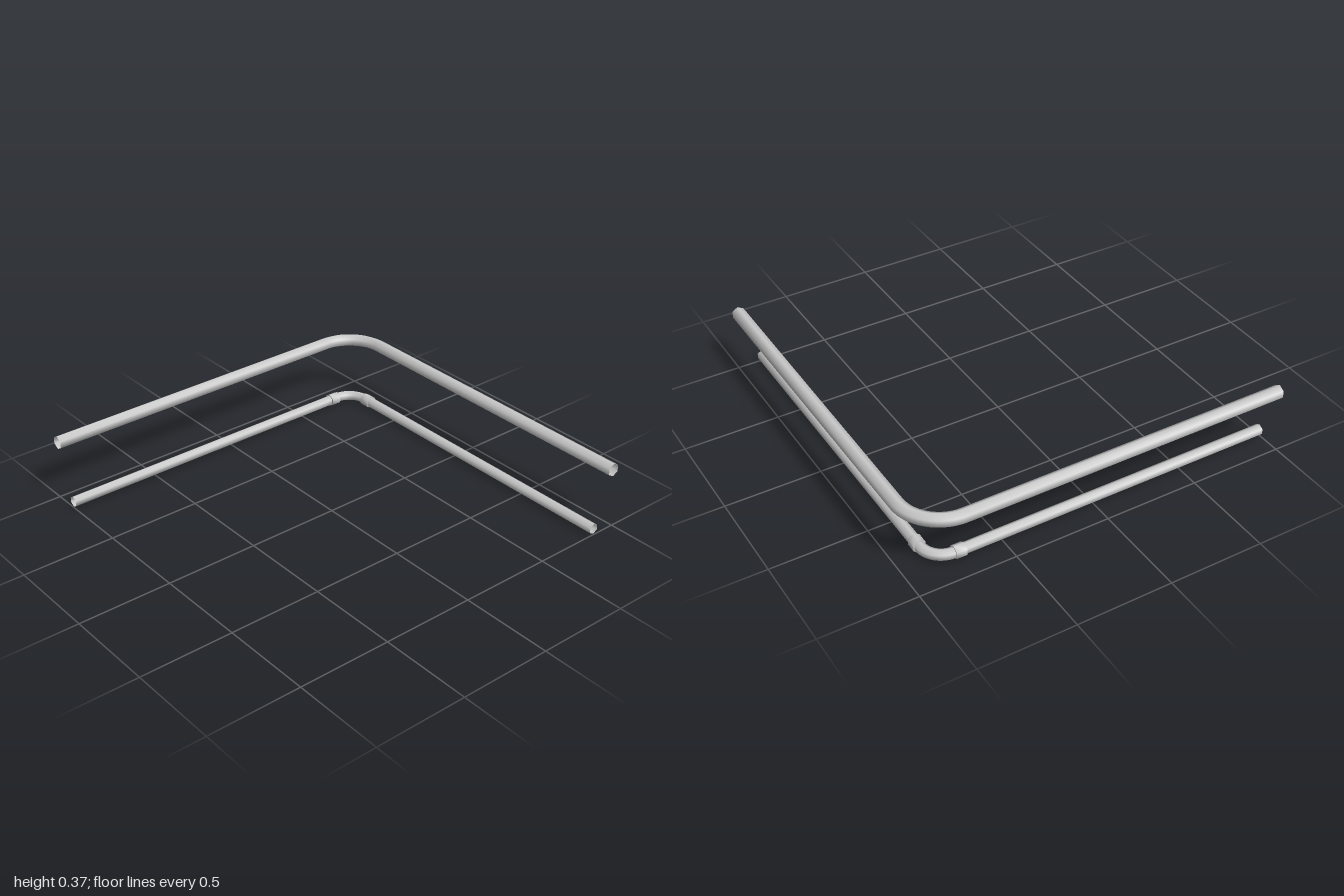
import * as THREE from 'three';
import { toCreasedNormals } from 'three/addons/utils/BufferGeometryUtils.js';

const SIDES = 6;
const material = new THREE.MeshStandardMaterial({ color: 0xcccccc, side: THREE.DoubleSide });

// Sweep a hexagon (corner up) through stations { x, z, angle, r } lying in a level plane.
function sweep(name, y, stations) {
  const positions = [], index = [];
  stations.forEach(({ x, z, angle, r }, i) => {
    for (let j = 0; j < SIDES; j++) {
      const a = Math.PI / 2 + (j / SIDES) * Math.PI * 2;
      const side = Math.cos(a) * r;
      positions.push(x - Math.sin(angle) * side, y + Math.sin(a) * r, z + Math.cos(angle) * side);
      if (i === 0) continue;
      const k = (j + 1) % SIDES, p = (i - 1) * SIDES, q = i * SIDES;
      index.push(p + j, q + j, p + k, p + k, q + j, q + k);
    }
  });
  const geometry = new THREE.BufferGeometry();
  geometry.setAttribute('position', new THREE.Float32BufferAttribute(positions, 3));
  geometry.setIndex(index);
  // Round shading along the hexagon, sharp at the sleeve shoulders
  const mesh = new THREE.Mesh(toCreasedNormals(geometry, 1.2), material);
  mesh.name = name;
  return mesh;
}

// Stations of a quarter bend from the back run (+x) to the side run (+z).
function bend(center, radius, r, steps) {
  return Array.from({ length: steps + 1 }, (_, i) => {
    const angle = (i / steps) * Math.PI / 2;
    return {
      x: center - radius + Math.sin(angle) * radius,
      z: -center + radius - Math.cos(angle) * radius,
      angle, r,
    };
  });
}

// Open-ended pipe: back run, corner bend, side run.
function cornerPipe(name, y, center, radius, r, steps) {
  return sweep(name, y, [
    { x: -1, z: -center, angle: 0, r },
    ...bend(center, radius, r, steps),
    { x: center, z: 1, angle: Math.PI / 2, r },
  ]);
}

export function createModel() {
  const group = new THREE.Group();
  group.name = 'cornerPipes';

  // Thick upper pipe with a wide bend
  group.add(cornerPipe('upperPipe', 0.338, 0.968, 0.22, 0.036, 14));

  // Thin lower pipe with a tight elbow
  const y = 0.036, center = 0.863, r = 0.029;
  group.add(cornerPipe('lowerPipe', y, center, 0.115, r, 12));

  // Sleeves where the elbow joins the straight runs
  const start = 0.695, end = 0.75, R = 0.035;
  const profile = [[start, r], [start, R], [end, R], [end, r]];
  group.add(sweep('backSleeve', y,
    profile.map(([t, rad]) => ({ x: t, z: -center, angle: 0, r: rad }))));
  group.add(sweep('sideSleeve', y,
    profile.map(([t, rad]) => ({ x: center, z: -t, angle: Math.PI / 2, r: rad })).reverse()));
  return group;
}
